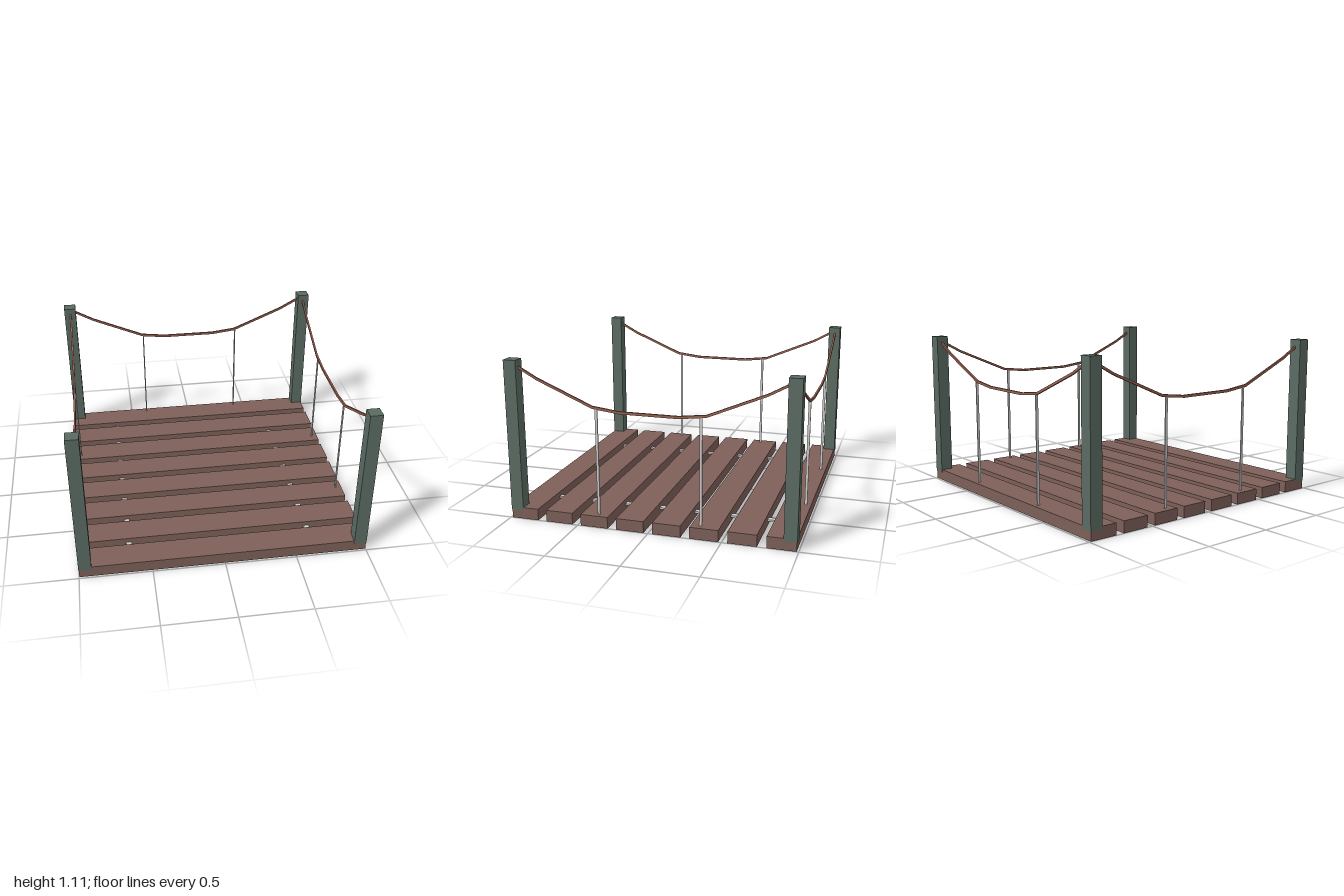
import * as THREE from 'three';

const wood = new THREE.MeshStandardMaterial({ color: 0x7d5f58, flatShading: true });
const postPaint = new THREE.MeshStandardMaterial({ color: 0x5a6b62, flatShading: true });
const ropeBrown = new THREE.MeshStandardMaterial({ color: 0x96604f, flatShading: true });
const grey = new THREE.MeshStandardMaterial({ color: 0xcccccc, flatShading: true });

function box(name, size, position, material) {
  const mesh = new THREE.Mesh(new THREE.BoxGeometry(...size), material);
  mesh.name = name;
  mesh.position.set(...position);
  return mesh;
}

// Sagging rope along x: a thin band following a symmetric polyline
function ropeGeometry() {
  const half = [[0.2, 0.798], [0.385, 0.82], [0.775, 0.985], [0.93, 1.07]];
  const line = [...half.map(([x, y]) => [-x, y]).reverse(), ...half];
  const t = 0.009, depth = 0.013;
  const shape = new THREE.Shape([
    ...line.map(([x, y]) => new THREE.Vector2(x, y - t)),
    ...line.reverse().map(([x, y]) => new THREE.Vector2(x, y + t)),
  ]);
  return new THREE.ExtrudeGeometry(shape, { depth, bevelEnabled: false }).translate(0, 0, -depth / 2);
}

export function createModel() {
  const model = new THREE.Group();
  model.name = 'ropeRailedDeck';

  // Deck planks
  for (let i = 0; i < 8; i++) {
    model.add(box('plank', [1.996, 0.08, 0.193], [0, 0.04, (i - 3.5) * 0.2543], wood));
  }

  // Straps threaded through the planks
  for (const x of [-0.645, 0.632]) {
    model.add(box('strap', [0.04, 0.014, 1.8], [x, 0.04, 0], grey));
  }

  // Corner posts, slightly sunk into the deck
  for (const x of [-0.956, 0.956]) {
    for (const z of [-0.946, 0.946]) {
      model.add(box('post', [0.088, 1.05, 0.088], [x, 0.585, z], postPaint));
    }
  }

  // Ropes with hangers on the two sides and the back
  const geometry = ropeGeometry();
  const addRope = (name, x, z, turn) => {
    const rope = new THREE.Mesh(geometry, ropeBrown);
    rope.name = name;
    rope.position.set(x, 0, z);
    rope.rotation.y = turn;
    model.add(rope);
  };
  addRope('backRope', 0, -0.95, 0);
  for (const s of [-1, 1]) {
    addRope(s > 0 ? 'leftRope' : 'rightRope', s * 0.953, 0, Math.PI / 2);
    model.add(box('backHanger', [0.008, 0.76, 0.018], [s * 0.385 + 0.008, 0.44, -0.95], grey));
    for (const z of [-0.35, 0.36]) {
      model.add(box('sideHanger', [0.008, 0.76, 0.018], [s * 0.953, 0.44, z], grey));
    }
  }
  return model;
}
